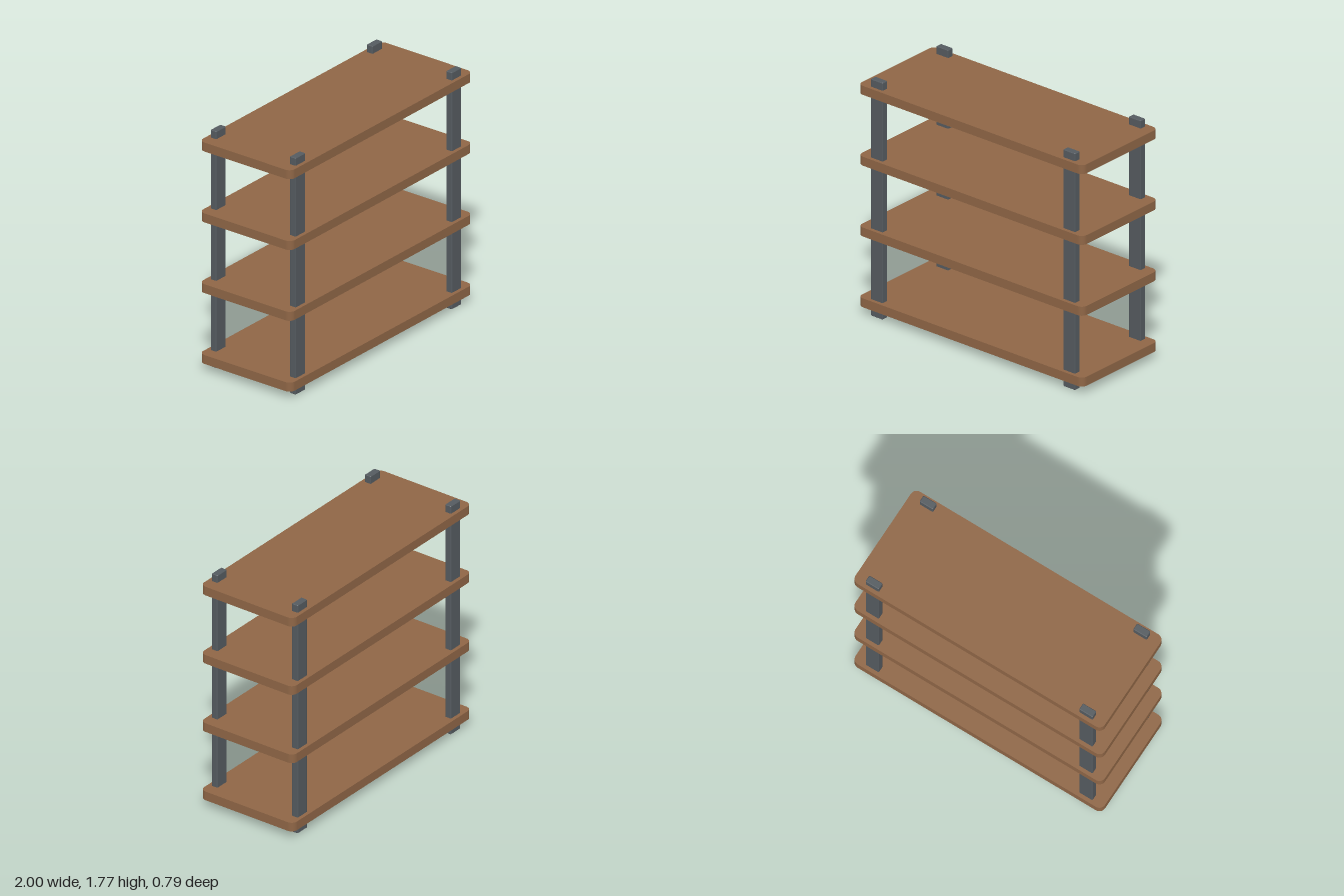
import * as THREE from 'three';

const wood = new THREE.MeshStandardMaterial({ color: 0x8f6646 });
wood.name = 'brown wood';
const metal = new THREE.MeshStandardMaterial({ color: 0x555b60 });
metal.name = 'grey metal';

// Rectangle with rounded corners, centred on the origin
function roundedRect(w, d, r) {
  const x = w / 2, y = d / 2, s = new THREE.Shape();
  s.moveTo(-x + r, -y);
  s.lineTo(x - r, -y).absarc(x - r, -y + r, r, -Math.PI / 2, 0);
  s.lineTo(x, y - r).absarc(x - r, y - r, r, 0, Math.PI / 2);
  s.lineTo(-x + r, y).absarc(-x + r, y - r, r, Math.PI / 2, Math.PI);
  s.lineTo(-x, -y + r).absarc(-x + r, -y + r, r, Math.PI, Math.PI * 1.5);
  return s;
}

// Upright slab with its footprint on xz and its middle at y = 0
function slab(w, h, d, r, curveSegments, bevel) {
  const shape = roundedRect(w - 2 * bevel, d - 2 * bevel, r);
  const geo = new THREE.ExtrudeGeometry(shape, {
    depth: h - 2 * bevel, curveSegments,
    bevelEnabled: bevel > 0, bevelSize: bevel, bevelThickness: bevel, bevelSegments: 1,
  });
  geo.translate(0, 0, -(h - 2 * bevel) / 2);
  geo.rotateX(-Math.PI / 2);
  return geo;
}

export function createModel() {
  const model = new THREE.Group();
  model.name = 'shelvingUnit';

  const add = (geo, material, name, x, y, z) => {
    const mesh = new THREE.Mesh(geo, material);
    mesh.name = name;
    mesh.position.set(x, y, z);
    model.add(mesh);
  };

  // Four evenly spaced boards
  const board = slab(2, 0.067, 0.787, 0.045, 5, 0);
  for (let i = 0; i < 4; i++) add(board, wood, `shelf${i + 1}`, 0, 0.091 + i * 0.53, 0);

  // Four flat posts with softened edges, passing through the boards
  const post = slab(0.107, 1.772, 0.05, 0.003, 1, 0.004);
  for (const [side, x] of [['Left', 0.857], ['Right', -0.857]]) {
    for (const [end, z] of [['front', 0.341], ['back', -0.341]]) {
      add(post, metal, `${end}${side}Post`, x, 0.886, z);
    }
  }
  return model;
}
